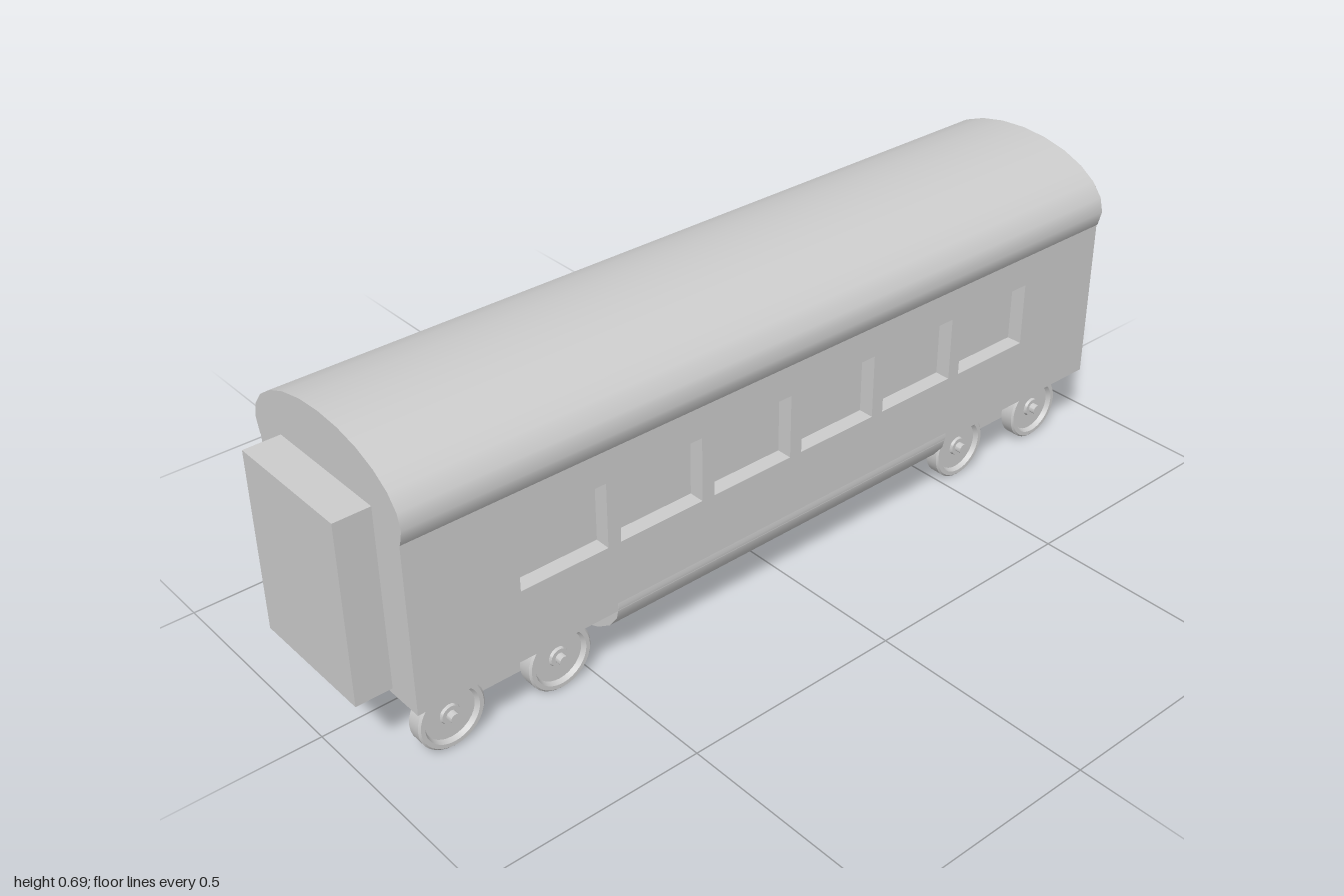
import * as THREE from 'three';
import { toCreasedNormals } from 'three/addons/utils/BufferGeometryUtils.js';

const material = new THREE.MeshStandardMaterial({ color: 0xcccccc });

export function createModel() {
  const model = new THREE.Group();
  model.name = 'passengerCarriage';

  const add = (name, geometry, parent = model) => {
    const mesh = new THREE.Mesh(geometry, material);
    mesh.name = name;
    parent.add(mesh);
    return mesh;
  };
  // Box given by its limits, symmetric in z
  const box = (x0, x1, y0, y1, halfZ) =>
    new THREE.BoxGeometry(x1 - x0, y1 - y0, 2 * halfZ).translate((x0 + x1) / 2, (y0 + y1) / 2, 0);
  // Elliptical cylinder lying along x
  const barrel = (x0, x1, y, ry, rz) =>
    new THREE.CylinderGeometry(1, 1, x1 - x0, 24)
      .rotateZ(Math.PI / 2).scale(1, ry, rz).translate((x0 + x1) / 2, y, 0);

  const back = -0.922, front = 0.91, floor = 0.157, eaves = 0.56;
  const halfWidth = 0.23, recess = 0.035;

  // Body core; its sides form the recessed window panes
  add('bodyCore', box(back, front, floor, eaves, halfWidth - recess));

  // Side walls with six window openings
  const wall = new THREE.Shape([
    new THREE.Vector2(back, floor), new THREE.Vector2(front, floor),
    new THREE.Vector2(front, eaves), new THREE.Vector2(back, eaves),
  ]);
  for (let i = 0; i < 6; i++) {
    const x0 = -0.685 + i * 0.2325, x1 = x0 + 0.202;
    wall.holes.push(new THREE.Path([
      new THREE.Vector2(x0, 0.315), new THREE.Vector2(x0, 0.46),
      new THREE.Vector2(x1, 0.46), new THREE.Vector2(x1, 0.315),
    ]));
  }
  const wallGeometry = new THREE.ExtrudeGeometry(wall, { depth: recess, bevelEnabled: false });
  add('frontWall', wallGeometry).position.z = halfWidth - recess;
  add('backWall', wallGeometry).position.z = -halfWidth;

  // Rounded roof and the rounded equipment tank below the floor
  add('roof', barrel(back, front, 0.566, 0.125, 0.241));
  add('underfloorTank', barrel(-0.465, 0.45, 0.167, 0.124, 0.232));

  // End gangways
  add('rightGangway', box(-1, back, 0.17, 0.57, 0.15));
  add('leftGangway', box(front, 1, 0.17, 0.57, 0.15));

  // Wheel profile: flat inside, raised rim, dished web, hub and axle stub
  const profile = [
    [0, 0.152], [0.07, 0.152], [0.074, 0.155], [0.074, 0.184], [0.07, 0.188], [0.061, 0.188],
    [0.056, 0.178], [0.022, 0.178], [0.02, 0.184], [0.011, 0.184], [0.011, 0.199], [0, 0.199],
  ].map(([r, z]) => new THREE.Vector2(r, z));
  const wheelGeometry = toCreasedNormals(
    new THREE.LatheGeometry(profile, 32).rotateX(Math.PI / 2), 0.5);

  // Two bogies, each with two pairs of wheels
  const bogies = [
    { name: 'rightBogie', x0: -0.866, x1: -0.519, wheels: [-0.826, -0.575] },
    { name: 'leftBogie', x0: 0.513, x1: 0.861, wheels: [0.552, 0.805] },
  ];
  for (const { name, x0, x1, wheels } of bogies) {
    const bogie = new THREE.Group();
    bogie.name = name;
    model.add(bogie);
    add('bogieFrame', box(x0, x1, 0.06, floor + 0.01, 0.152), bogie);
    for (const x of wheels) {
      for (const turn of [0, Math.PI]) {
        const wheel = add(turn ? 'backWheel' : 'frontWheel', wheelGeometry, bogie);
        wheel.position.set(x, 0.074, 0);
        wheel.rotation.y = turn;
      }
    }
  }
  return model;
}
